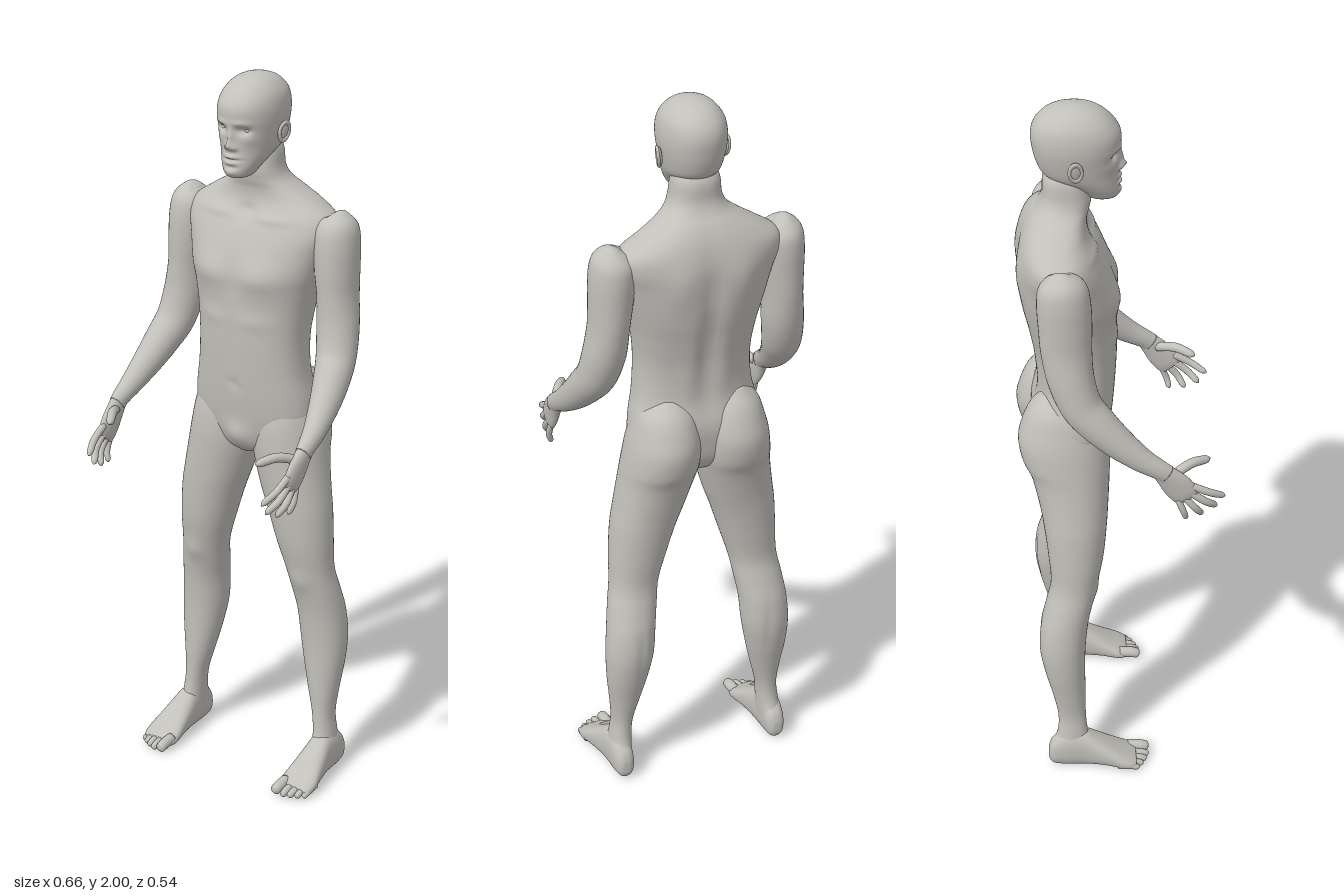
import * as THREE from 'three';

const grey = new THREE.MeshStandardMaterial({ color: 0xc2c0ba });
grey.name = 'plain grey';

// Smoothly resample rows of numbers (Catmull-Rom on every column)
function smooth(rows, steps) {
  const out = [], n = rows.length;
  for (let i = 0; i < n - 1; i++) {
    const a = rows[Math.max(i - 1, 0)], b = rows[i], c = rows[i + 1], d = rows[Math.min(i + 2, n - 1)];
    for (let s = 0; s < steps; s++) {
      const t = s / steps;
      out.push(b.map((_, k) => b[k] + 0.5 * t * (c[k] - a[k]
        + t * (2 * a[k] - 5 * b[k] + 4 * c[k] - d[k] + t * (3 * (b[k] - c[k]) + d[k] - a[k])))));
    }
  }
  out.push(rows[n - 1]);
  return out;
}

// Closed surface through rings of points, always wound outwards
function surface(rings) {
  const n = rings[0].length, m = rings.length, pts = rings.flat(), idx = [];
  const middle = (r) => r.reduce((s, p) => s.add(p), new THREE.Vector3()).divideScalar(n);
  pts.push(middle(rings[0]), middle(rings[m - 1]));
  for (let j = 0; j < n; j++) {
    const k = (j + 1) % n;
    for (let i = 0; i < m - 1; i++) {
      const a = i * n + j, b = i * n + k;
      idx.push(a, b, b + n, a, b + n, a + n);
    }
    idx.push(m * n, k, j, m * n + 1, (m - 1) * n + j, (m - 1) * n + k);
  }
  let volume = 0;
  const cross = new THREE.Vector3();
  for (let i = 0; i < idx.length; i += 3)
    volume += pts[idx[i]].dot(cross.crossVectors(pts[idx[i + 1]], pts[idx[i + 2]]));
  if (volume < 0) idx.reverse();
  const g = new THREE.BufferGeometry().setFromPoints(pts);
  g.setIndex(idx);
  g.computeVertexNormals();
  return g;
}

// Sections across one axis: rows of [along, x0, x1, low, high].
// Bumps [side, x, y, spreadX, spreadY, dz] push the front (1) or back (-1).
function loft(rows, { axis = 'y', segs = 40, steps = 6, power = 2, bumps = [] } = {}) {
  return surface(smooth(rows, steps).map(([h, x0, x1, lo, hi]) => {
    const rx = Math.max((x1 - x0) / 2, 0.001), r = Math.max((hi - lo) / 2, 0.001), ring = [];
    for (let j = 0; j < segs; j++) {
      const a = (j / segs) * Math.PI * 2, c = Math.cos(a), s = Math.sin(a);
      const x = (x0 + x1) / 2 + rx * Math.sign(c) * Math.abs(c) ** (2 / power);
      let w = (lo + hi) / 2 + r * Math.sign(s) * Math.abs(s) ** (2 / power);
      for (const [side, bx, by, sx, sy, dz] of bumps)
        w += dz * Math.max(0, side * s) * Math.exp(-(((Math.abs(x) - bx) / sx) ** 2) - ((h - by) / sy) ** 2);
      ring.push(axis === 'y' ? new THREE.Vector3(x, h, w) : new THREE.Vector3(x, w, h));
    }
    return ring;
  }));
}

// Limb along a path: rows of [x, y, z, radius sideways, radius across]
function limb(rows, segs = 28, steps = 6) {
  const path = smooth(rows, steps), at = (i) => new THREE.Vector3(...path[i].slice(0, 3));
  return surface(path.map(([x, y, z, r1, r2], i) => {
    const t = at(Math.min(i + 1, path.length - 1)).sub(at(Math.max(i - 1, 0))).normalize();
    const u = new THREE.Vector3(1, 0, 0).addScaledVector(t, -t.x).normalize();
    const v = new THREE.Vector3().crossVectors(t, u);
    return Array.from({ length: segs }, (_, j) => {
      const a = (j / segs) * Math.PI * 2;
      return new THREE.Vector3(x, y, z).addScaledVector(u, Math.max(r1, 0.0005) * Math.cos(a))
        .addScaledVector(v, Math.max(r2, 0.0005) * Math.sin(a));
    });
  }));
}

// Finger or toe with a rounded tip, bent through a middle point
function digit(a, b, c, r) {
  const end = c.map((v, i) => v + (c[i] - b[i]) * 0.06);
  return limb([[...a, r, r], [...b, r * 1.02, r * 1.02], [...c.map((v, i) => v - (v - b[i]) * 0.25), r * 0.9, r * 0.9],
    [...c.map((v, i) => v - (v - b[i]) * 0.06), r * 0.62, r * 0.62], [...end, r * 0.1, r * 0.1]], 14, 4);
}

export function createModel() {
  const model = new THREE.Group();
  model.name = 'standingFigure';
  const add = (name, g) => {
    const mesh = new THREE.Mesh(g, grey);
    mesh.name = name;
    model.add(mesh);
  };
  // Adds a left part and its mirror image
  const pair = (name, g) => {
    add('left' + name, g);
    const m = g.clone().scale(-1, 1, 1);
    m.setIndex(Array.from(g.index.array).reverse());
    add('right' + name, m);
  };
  const even = (rows) => rows.map(([y, w, back, front]) => [y, -w, w, back, front]);

  // Torso and neck, with chest, collarbone, spine and shoulder blade relief
  add('torso', loft(even([
    [0.955, 0.03, -0.15, -0.06], [0.975, 0.09, -0.19, -0.042], [1.01, 0.15, -0.215, -0.03],
    [1.06, 0.178, -0.225, -0.02], [1.12, 0.178, -0.228, -0.012], [1.2, 0.162, -0.212, -0.005],
    [1.29, 0.157, -0.216, 0], [1.37, 0.165, -0.232, 0], [1.43, 0.177, -0.246, 0.001],
    [1.48, 0.19, -0.253, 0], [1.54, 0.205, -0.255, -0.016], [1.59, 0.22, -0.255, -0.037],
    [1.63, 0.213, -0.249, -0.058], [1.665, 0.165, -0.238, -0.074], [1.695, 0.115, -0.222, -0.075],
    [1.72, 0.082, -0.203, -0.068], [1.75, 0.067, -0.19, -0.063], [1.8, 0.06, -0.185, -0.07],
    [1.84, 0.04, -0.16, -0.09],
  ]), { segs: 80, steps: 7, power: 2.35, bumps: [
    [1, 0.085, 1.475, 0.06, 0.045, 0.012], [1, 0, 1.46, 0.018, 0.07, -0.005],
    [1, 0, 1.635, 0.025, 0.02, -0.012], [1, 0.085, 1.625, 0.06, 0.012, 0.006],
    [1, 0, 1.28, 0.015, 0.09, -0.004], [1, 0, 1.165, 0.01, 0.012, -0.007],
    [1, 0.07, 1.35, 0.05, 0.02, 0.004], [1, 0, 1.01, 0.035, 0.035, 0.014],
    [-1, 0, 1.4, 0.024, 0.19, 0.014], [-1, 0.085, 1.55, 0.045, 0.06, -0.01],
    [-1, 0.05, 1.27, 0.025, 0.09, -0.004],
  ] }));

  // Head with face relief
  add('head', loft(even([
    [1.738, 0.015, -0.05, -0.008], [1.745, 0.034, -0.075, 0.004], [1.765, 0.047, -0.1, 0.009],
    [1.79, 0.06, -0.14, 0.006], [1.815, 0.07, -0.185, 0.005], [1.85, 0.078, -0.203, 0.006],
    [1.89, 0.084, -0.212, 0.011], [1.925, 0.083, -0.214, 0.01], [1.955, 0.075, -0.204, -0.008],
    [1.98, 0.056, -0.18, -0.036], [1.993, 0.034, -0.15, -0.066], [2, 0.006, -0.112, -0.1],
  ]), { segs: 128, steps: 10, power: 2.15, bumps: [
    [1, 0.034, 1.868, 0.017, 0.01, -0.016], [1, 0.03, 1.887, 0.022, 0.007, 0.004],
    [1, 0.05, 1.843, 0.018, 0.014, 0.004], [1, 0, 1.827, 0.011, 0.011, 0.016],
    [1, 0, 1.847, 0.009, 0.022, 0.011], [1, 0.013, 1.822, 0.006, 0.007, 0.008],
    [1, 0, 1.798, 0.02, 0.006, 0.008], [1, 0, 1.782, 0.018, 0.006, 0.007],
    [1, 0, 1.79, 0.024, 0.003, -0.005], [1, 0, 1.77, 0.02, 0.005, -0.004],
    [1, 0, 1.756, 0.018, 0.009, 0.005],
  ] }));
  pair('Eye', new THREE.SphereGeometry(0.014, 20, 14).translate(0.034, 1.868, -0.026));

  // Ears: a flat bowl with a raised rim
  const placeEar = (g) => g.rotateZ(-0.1).rotateX(-0.15).rotateY(-0.25).translate(0.087, 1.855, -0.107);
  pair('Ear', placeEar(new THREE.SphereGeometry(1, 20, 14).scale(0.007, 0.028, 0.018)));
  pair('EarRim', placeEar(new THREE.TorusGeometry(0.016, 0.0045, 10, 28).rotateY(Math.PI / 2)
    .scale(1, 1.5, 1).translate(0.004, 0, 0)));

  // Legs, including the buttocks
  pair('Leg', loft([
    [1.2, 0.06, 0.12, -0.2, -0.13], [1.16, 0.022, 0.162, -0.235, -0.075], [1.11, 0.006, 0.181, -0.257, -0.043],
    [1.06, 0.001, 0.194, -0.267, -0.029], [1, 0.001, 0.204, -0.257, -0.024], [0.95, 0.008, 0.211, -0.235, -0.025],
    [0.865, 0.032, 0.225, -0.215, -0.03], [0.8, 0.055, 0.235, -0.205, -0.035], [0.71, 0.083, 0.241, -0.195, -0.045],
    [0.627, 0.108, 0.244, -0.19, -0.062], [0.56, 0.12, 0.255, -0.205, -0.077], [0.495, 0.13, 0.264, -0.221, -0.09],
    [0.415, 0.137, 0.27, -0.225, -0.098], [0.335, 0.152, 0.267, -0.212, -0.1], [0.257, 0.171, 0.258, -0.193, -0.1],
    [0.18, 0.191, 0.251, -0.178, -0.1], [0.12, 0.197, 0.257, -0.18, -0.095], [0.07, 0.2, 0.262, -0.197, -0.08],
    [0.03, 0.207, 0.257, -0.195, -0.08],
  ], { segs: 48, power: 2.1, bumps: [
    [1, 0.178, 0.6, 0.03, 0.03, 0.006], [-1, 0.19, 0.43, 0.01, 0.08, 0.004],
  ] }));

  // Feet and toes
  pair('Foot', loft([
    [-0.207, 0.222, 0.245, 0.025, 0.06], [-0.195, 0.208, 0.257, 0.006, 0.09], [-0.16, 0.202, 0.264, 0, 0.12],
    [-0.11, 0.198, 0.268, 0, 0.122], [-0.07, 0.193, 0.276, 0.002, 0.1], [-0.03, 0.188, 0.284, 0.002, 0.073],
    [0, 0.184, 0.29, 0, 0.053], [0.025, 0.184, 0.289, 0, 0.038], [0.042, 0.192, 0.28, 0.004, 0.028],
  ], { axis: 'z', power: 2.4 }));
  [[0.201, 0.08, 0.0155], [0.226, 0.079, 0.0105], [0.245, 0.072, 0.01], [0.263, 0.062, 0.0095], [0.279, 0.05, 0.009]]
    .forEach(([x, tip, r], i) => pair('Toe' + (i + 1),
      digit([x, r + 0.009, tip - 0.06], [x, r + 0.006, tip - 0.025], [x - 0.001, r, tip - 0.001], r)));

  // Arms from the shoulder to the wrist
  pair('Arm', limb([
    [0.222, 1.65, -0.15, 0.01, 0.01], [0.226, 1.641, -0.15, 0.034, 0.036], [0.23, 1.615, -0.148, 0.055, 0.06],
    [0.233, 1.57, -0.145, 0.06, 0.068], [0.237, 1.5, -0.142, 0.057, 0.068], [0.242, 1.43, -0.14, 0.053, 0.065],
    [0.25, 1.35, -0.13, 0.056, 0.06], [0.262, 1.275, -0.105, 0.054, 0.054], [0.275, 1.225, -0.065, 0.049, 0.05],
    [0.287, 1.175, -0.015, 0.041, 0.043], [0.298, 1.125, 0.045, 0.031, 0.033], [0.303, 1.095, 0.09, 0.024, 0.027],
    [0.304, 1.078, 0.112, 0.02, 0.027],
  ], 36));

  // Hands: palm, four spread fingers and a thumb
  pair('Palm', limb([
    [0.304, 1.095, 0.092, 0.02, 0.024], [0.304, 1.07, 0.115, 0.018, 0.031], [0.303, 1.04, 0.139, 0.016, 0.038],
    [0.302, 1.012, 0.16, 0.0135, 0.037], [0.301, 0.998, 0.17, 0.009, 0.032], [0.3, 0.994, 0.173, 0.003, 0.02],
  ]));
  pair('IndexFinger', digit([0.301, 1.036, 0.176], [0.298, 1.011, 0.222], [0.282, 0.985, 0.266], 0.0098));
  pair('MiddleFinger', digit([0.302, 1.018, 0.17], [0.3, 0.984, 0.212], [0.281, 0.953, 0.246], 0.01));
  pair('RingFinger', digit([0.303, 1.002, 0.158], [0.304, 0.966, 0.187], [0.288, 0.933, 0.208], 0.0095));
  pair('LittleFinger', digit([0.304, 0.994, 0.143], [0.306, 0.958, 0.157], [0.297, 0.927, 0.166], 0.0085));
  pair('Thumb', digit([0.296, 1.068, 0.13], [0.268, 1.083, 0.178], [0.238, 1.075, 0.228], 0.0125));
  return model;
}
